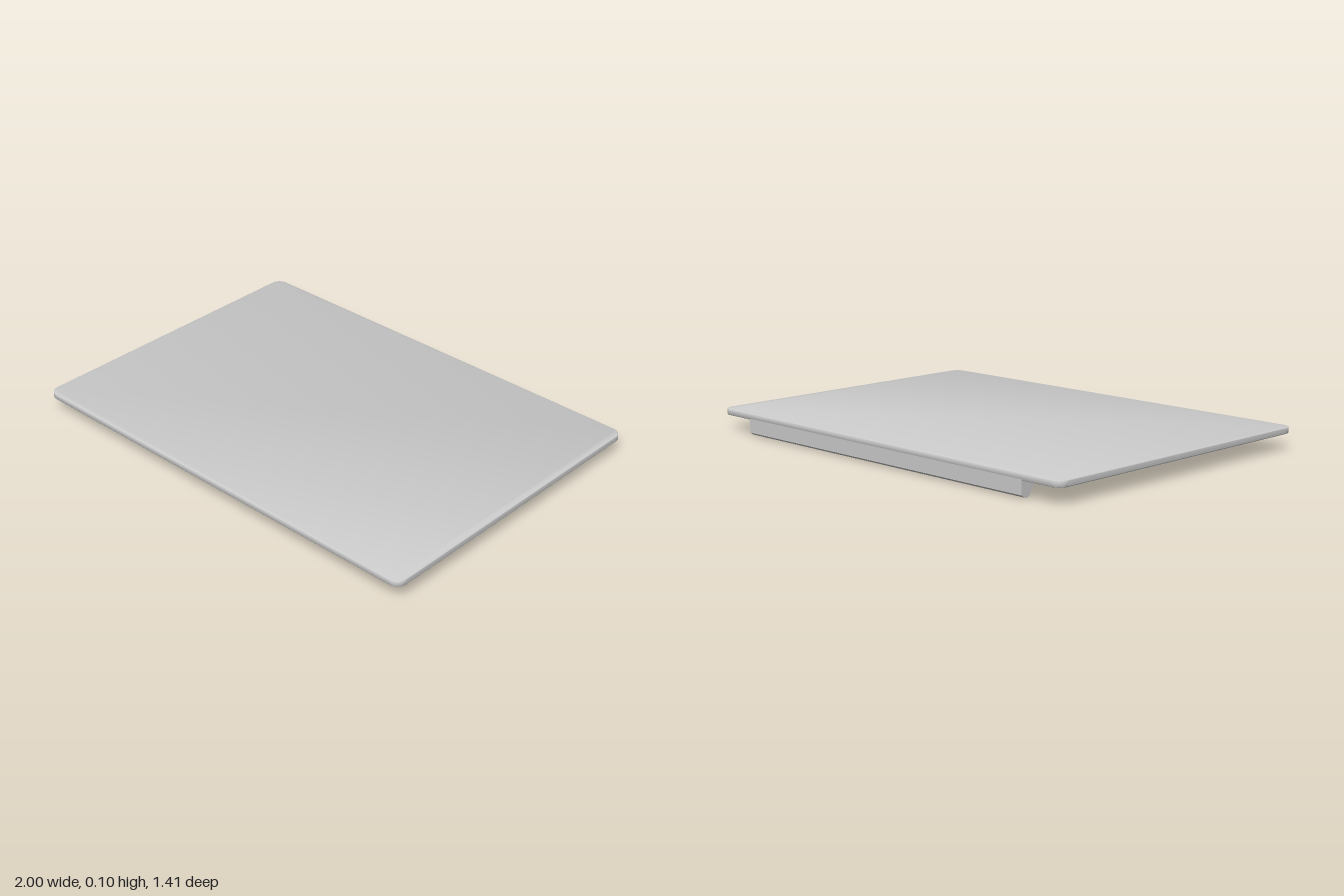
import * as THREE from 'three';
import { toCreasedNormals } from 'three/addons/utils/BufferGeometryUtils.js';

const material = new THREE.MeshStandardMaterial({ color: 0xcccccc });

function addPart(group, name, geometry) {
  const mesh = new THREE.Mesh(toCreasedNormals(geometry, 0.6), material);
  mesh.name = name;
  group.add(mesh);
}

// Horizontal plate with rounded corners, spanning z0..z1 and y0..y1
function plate(halfX, z0, z1, y0, y1, r, bevel) {
  const s = new THREE.Shape();
  const h = (z1 - z0) / 2;
  s.moveTo(-halfX + r, -h);
  s.lineTo(halfX - r, -h);
  s.absarc(halfX - r, -h + r, r, -Math.PI / 2, 0);
  s.absarc(halfX - r, h - r, r, 0, Math.PI / 2);
  s.absarc(-halfX + r, h - r, r, Math.PI / 2, Math.PI);
  s.absarc(-halfX + r, -h + r, r, Math.PI, Math.PI * 1.5);
  const g = new THREE.ExtrudeGeometry(s, {
    depth: y1 - y0 - 2 * bevel,
    bevelEnabled: bevel > 0,
    bevelSize: bevel,
    bevelThickness: bevel,
    bevelOffset: -bevel,
    bevelSegments: 4,
    curveSegments: 10,
  });
  g.rotateX(-Math.PI / 2);
  g.translate(0, y0 + bevel, (z0 + z1) / 2);
  return g;
}

export function createModel() {
  const group = new THREE.Group();
  group.name = 'trackpad';

  // Main slab
  addPart(group, 'slab', plate(1, -0.707, 0.707, 0.07, 0.098, 0.045, 0.005));

  // Thin covers on the underside
  addPart(group, 'bottomCover', plate(0.96, -0.42, 0.645, 0.068, 0.072, 0.012, 0));
  addPart(group, 'rearBottomCover', plate(0.96, -0.6, -0.424, 0.068, 0.072, 0.012, 0));

  // Rear foot: side profile (z, y) swept across the width
  const profile = new THREE.Shape();
  profile.moveTo(-0.707, 0.078);
  profile.lineTo(-0.707, 0.014);
  profile.lineTo(-0.692, 0.004);
  profile.quadraticCurveTo(-0.676, -0.004, -0.662, 0.012);
  profile.lineTo(-0.632, 0.06);
  profile.quadraticCurveTo(-0.628, 0.069, -0.62, 0.07);
  profile.lineTo(-0.62, 0.078);
  const foot = new THREE.ExtrudeGeometry(profile, { depth: 1.62, bevelEnabled: false, curveSegments: 8 });
  foot.rotateY(-Math.PI / 2);
  foot.translate(0.81, 0, 0);
  addPart(group, 'rearFoot', foot);

  return group;
}
